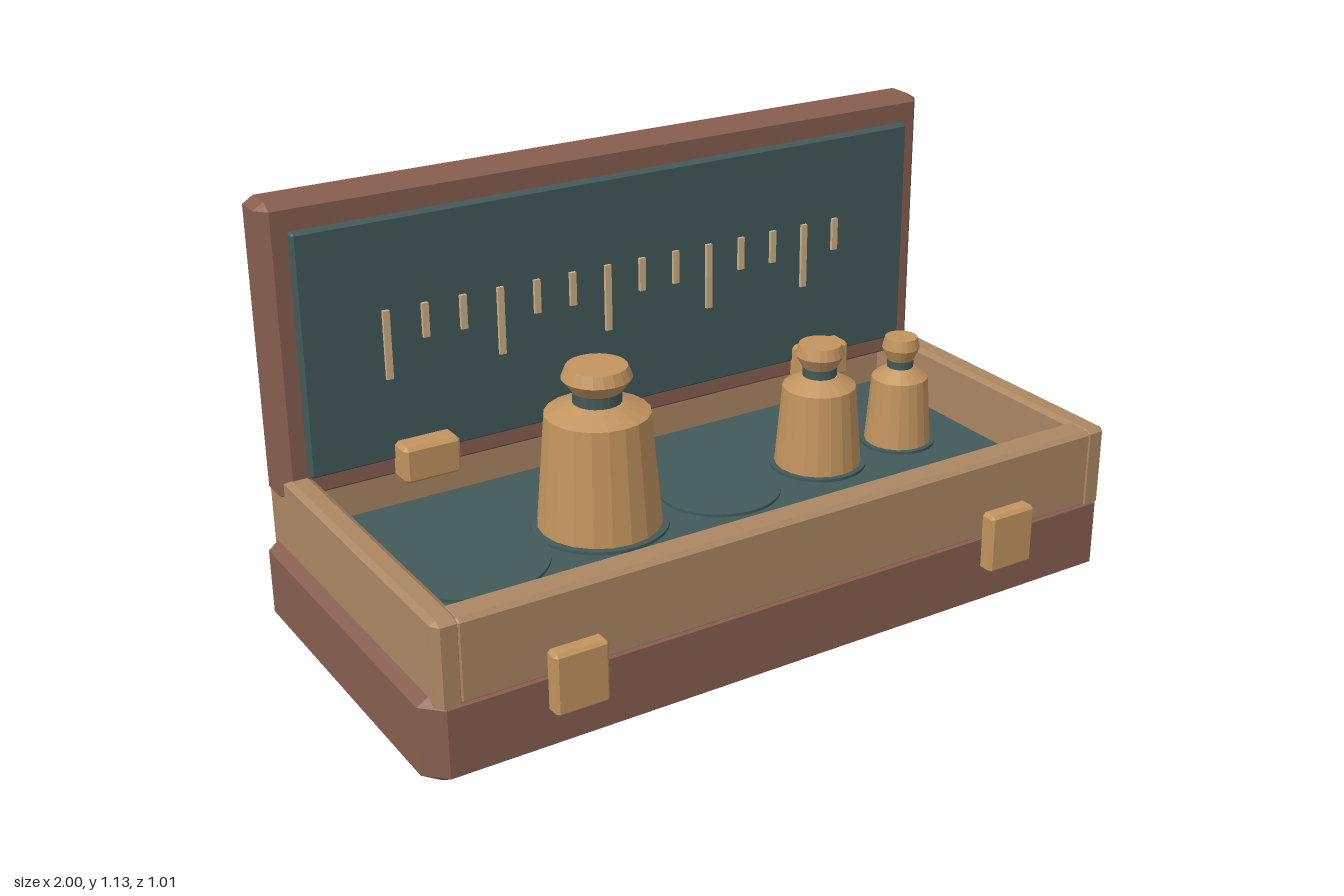
import * as THREE from 'three';
import { ConvexGeometry } from 'three/addons/geometries/ConvexGeometry.js';

const mat = (name, color) => {
  const m = new THREE.MeshStandardMaterial({ color });
  m.name = name;
  return m;
};

// Box between two corners with chamfered edges (cx, cy, cz: chamfer per axis)
function bevelBox([x0, y0, z0], [x1, y1, z1], [cx, cy, cz]) {
  const hx = (x1 - x0) / 2, hy = (y1 - y0) / 2, hz = (z1 - z0) / 2;
  const pts = [];
  for (const i of [-1, 1]) for (const j of [-1, 1]) for (const k of [-1, 1]) {
    pts.push(
      new THREE.Vector3(i * hx, j * (hy - cy), k * (hz - cz)),
      new THREE.Vector3(i * (hx - cx), j * hy, k * (hz - cz)),
      new THREE.Vector3(i * (hx - cx), j * (hy - cy), k * hz));
  }
  return new ConvexGeometry(pts).translate((x0 + x1) / 2, (y0 + y1) / 2, (z0 + z1) / 2);
}

// Faceted turned solid; profile points run from bottom to top
function turned(profile, sides = 20) {
  const g = new THREE.LatheGeometry(profile.map(([r, y]) => new THREE.Vector2(r, y)), sides).toNonIndexed();
  g.computeVertexNormals();
  return g;
}

export function createModel() {
  const darkWood = mat('dark wood', 0x875e50);
  const paleWood = mat('pale wood', 0xab8763);
  const brass = mat('brass', 0xc2945f);
  const felt = mat('green felt', 0x435a5a);
  const pinMetal = mat('pale brass', 0xcdb088);

  const model = new THREE.Group();
  model.name = 'weightBox';
  const add = (name, geometry, material, parent = model) => {
    const m = new THREE.Mesh(geometry, material);
    m.name = name;
    parent.add(m);
    return m;
  };
  const box = (name, a, b, c, material, parent) => add(name, bevelBox(a, b, c), material, parent);

  // Base and tray
  box('base', [-1, 0, -0.505], [1, 0.235, 0.47], [0.05, 0.03, 0.05], darkWood);
  box('feltFloor', [-0.92, 0.2, -0.45], [0.92, 0.26, 0.41], [0.005, 0.005, 0.005], felt);
  box('frontWall', [-0.92, 0.205, 0.385], [0.92, 0.42, 0.469], [0.012, 0.01, 0.012], paleWood);
  box('backWall', [-0.92, 0.205, -0.503], [0.92, 0.42, -0.42], [0.012, 0.01, 0.012], paleWood);
  for (const s of [-1, 1]) {
    box('sideWall', [s * 0.935 - 0.035, 0.2, -0.503], [s * 0.935 + 0.035, 0.422, 0.469],
      [0.015, 0.01, 0.022], paleWood);
    box('latch', [s * 0.63 - 0.07, 0.12, 0.46], [s * 0.63 + 0.07, 0.28, 0.508], [0.008, 0.008, 0.008], brass);
    box('hinge', [s * 0.61 - 0.078, 0.375, -0.36], [s * 0.61 + 0.078, 0.475, -0.28], [0.01, 0.01, 0.012], brass);
  }

  // Raised lid with its lining
  const lid = new THREE.Group();
  lid.name = 'lid';
  model.add(lid);
  box('lidPanel', [-0.98, 0.36, -0.494], [0.98, 1.132, -0.366], [0.028, 0.018, 0.03], darkWood, lid);
  box('lidLining', [-0.912, 0.425, -0.38], [0.912, 1.06, -0.341], [0.006, 0.006, 0.008], felt, lid);

  // Ruler marks: every third one is long
  for (let i = 0; i < 14; i++) {
    const h = i % 3 === 0 && i < 13 ? 0.18 : 0.09;
    const pin = new THREE.BoxGeometry(0.018, h, 0.009).translate(-0.698 + i * 0.1038, 0.835 - h / 2, -0.319);
    add('scaleMark', pin, pinMetal, lid);
  }

  // Round seats in the felt: x, radius
  const cz = -0.043;
  for (const [x, r] of [[-0.65, 0.211], [-0.27, 0.178], [0.09, 0.164], [0.41, 0.131], [0.683, 0.103]]) {
    add('seat', new THREE.CylinderGeometry(r, r, 0.02, 40), felt).position.set(x, 0.258, cz);
  }

  // Weights: x, radial scale, shoulder height, cap height
  for (const [x, s, yShoulder, yTop] of [[-0.27, 1, 0.57, 0.693], [0.41, 0.73, 0.488, 0.606], [0.683, 0.57, 0.453, 0.568]]) {
    const weight = new THREE.Group();
    weight.name = 'weight';
    weight.position.set(x, 0, cz);
    model.add(weight);
    const yNeck = yShoulder + 0.029, yCap = yTop - 0.064;
    add('weightBody', turned([[0, 0.262], [0.161 * s, 0.262], [0.135 * s, yShoulder], [0.066 * s, yNeck], [0, yNeck]]), brass, weight);
    add('weightNeck', turned([[0.063 * s, yNeck - 0.005], [0.063 * s, yCap + 0.005]]), felt, weight);
    add('weightCap', turned([[0, yCap], [0.064 * s, yCap], [0.09 * s, yTop - 0.03], [0.078 * s, yTop], [0, yTop]]), brass, weight);
  }
  return model;
}
